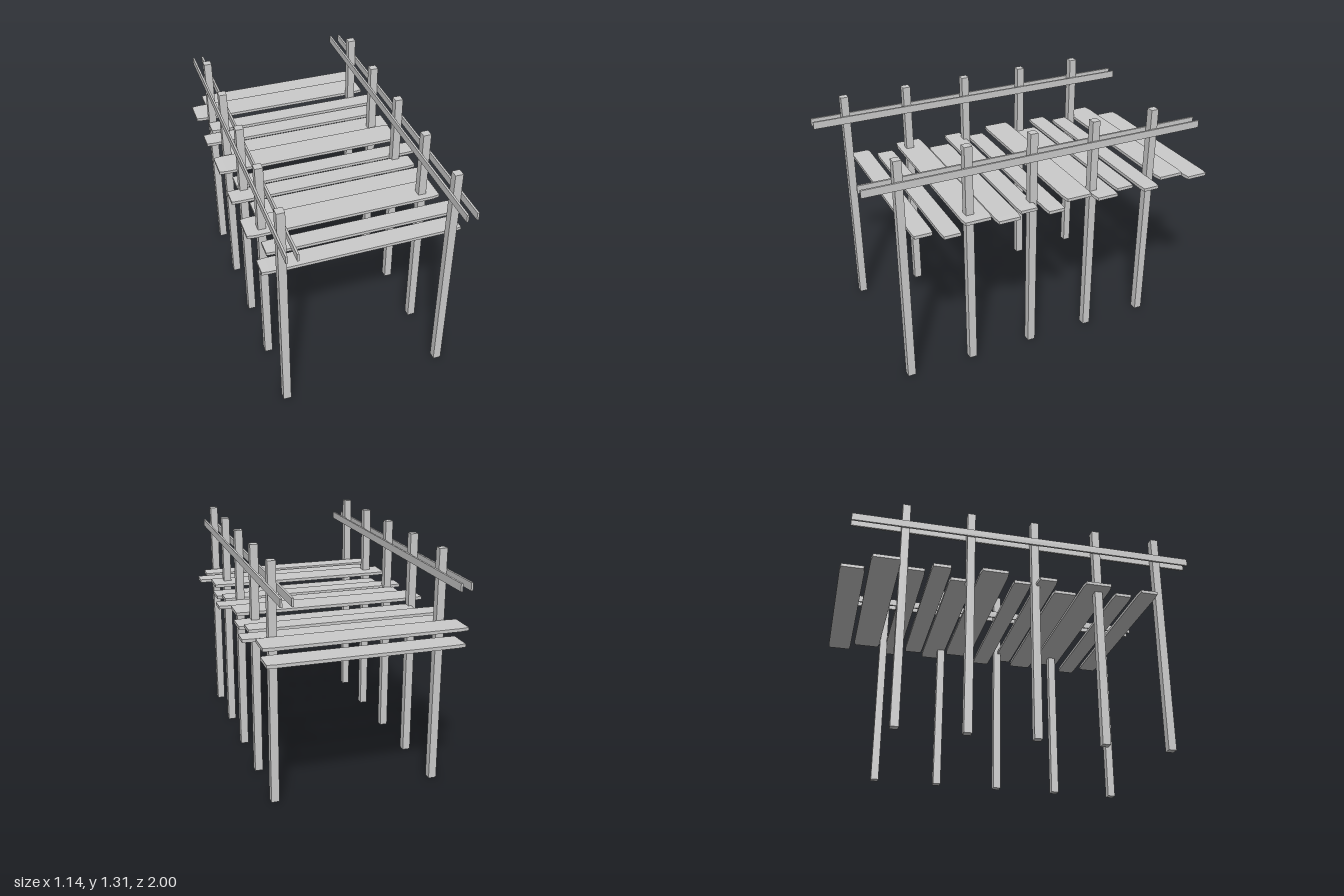
import * as THREE from 'three';
import { ConvexGeometry } from 'three/addons/geometries/ConvexGeometry.js';

const material = new THREE.MeshStandardMaterial({ color: 0xcccccc, flatShading: true });

// Box with chamfered edges; the chamfer stretches with each dimension
function plankGeometry(length, thickness, width) {
  const b = 0.92, points = [];
  for (const x of [-1, 1]) for (const y of [-1, 1]) for (const z of [-1, 1]) {
    points.push(new THREE.Vector3(x, y * b, z * b));
    points.push(new THREE.Vector3(x * b, y, z * b));
    points.push(new THREE.Vector3(x * b, y * b, z));
  }
  const geometry = new ConvexGeometry(points);
  geometry.scale(length / 2, thickness / 2, width / 2);
  geometry.computeVertexNormals();
  return geometry;
}

function addPart(parent, name, geometry, x, y, z) {
  const mesh = new THREE.Mesh(geometry, material);
  mesh.name = name;
  mesh.position.set(x, y, z);
  parent.add(mesh);
}

export function createModel() {
  const model = new THREE.Group();
  model.name = 'plankWalkway';

  // Two rows of posts, each clamped between a pair of thin handrails
  const post = new THREE.BoxGeometry(0.044, 1.312, 0.044);
  const rail = new THREE.BoxGeometry(0.011, 0.042, 1.964);
  for (const [side, x] of [['right', -0.482], ['left', 0.424]]) {
    const row = new THREE.Group();
    row.name = side + 'Side';
    for (let i = 0; i < 5; i++) addPart(row, 'post', post, x, 0.656, 0.806 - i * 0.3685);
    addPart(row, 'outerRail', rail, x - 0.0275, 1.179, 0.018);
    addPart(row, 'innerRail', rail, x + 0.0275, 1.179, 0.018);
    model.add(row);
  }

  // Four uneven planks repeated three times along the deck
  const deck = new THREE.Group();
  deck.name = 'deck';
  const planks = [
    { x0: -0.572, x1: 0.508, y: 0.906, z: 0.716, width: 0.106 },
    { x0: -0.510, x1: 0.570, y: 0.903, z: 0.584, width: 0.100 },
    { x0: -0.572, x1: 0.513, y: 0.917, z: 0.417, width: 0.157 },
    { x0: -0.477, x1: 0.534, y: 0.891, z: 0.249, width: 0.133 },
  ];
  for (const p of planks) {
    const geometry = plankGeometry(p.x1 - p.x0, 0.019, p.width);
    for (let i = 0; i < 3; i++) {
      addPart(deck, 'plank', geometry, (p.x0 + p.x1) / 2, p.y, p.z - i * 0.592);
    }
  }
  model.add(deck);
  return model;
}
